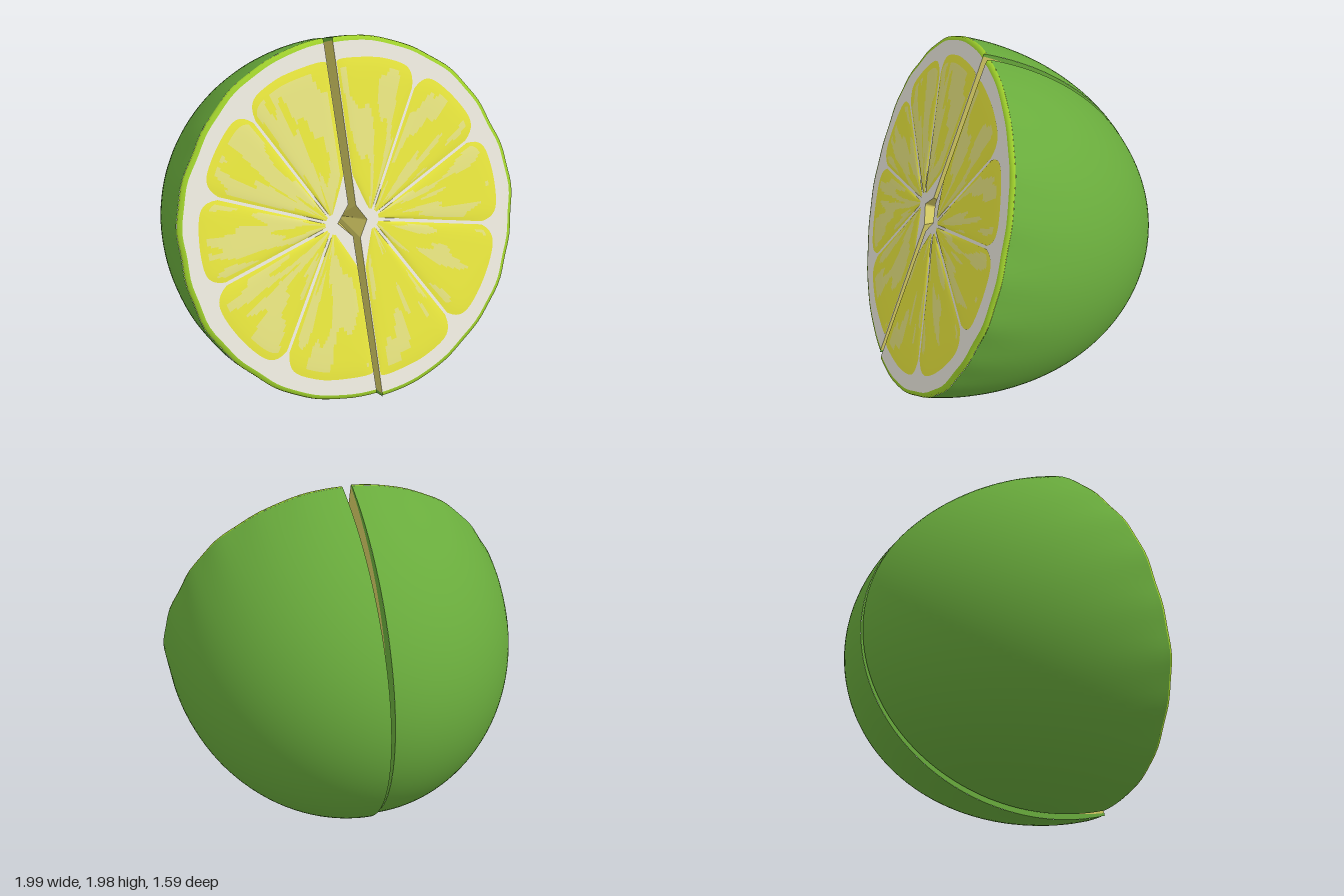
import * as THREE from 'three';

const DEPTH = 1.28; // length from the cut face to the back of the fruit
const RIND = 0.974; // inner radius of the rind edge
const mat = (name, color) => Object.assign(new THREE.MeshStandardMaterial({ color }), { name });
const M = {
  skin: mat('green skin', 0x69ab3c),
  rim: mat('bright rind edge', 0x9fd02c),
  pith: mat('white pith', 0xf3f0e5),
  flesh: mat('yellow flesh', 0xe4e23c),
  pale: mat('pale flesh', 0xe2df7c),
  wall: mat('inner cut flesh', 0xd2c862),
};

// Grid surface from point(u, v); side -1 mirrors it in x. pick(u, v) chooses a material per cell.
function grid(name, materials, point, nu, nv, side, pick = () => 0) {
  const pos = [], sets = [[], []];
  for (let j = 0; j <= nv; j++)
    for (let i = 0; i <= nu; i++) {
      const [x, y, z] = point(i / nu, j / nv);
      pos.push(side * x, y, z);
    }
  for (let j = 0; j < nv; j++)
    for (let i = 0; i < nu; i++) {
      const a = j * (nu + 1) + i, b = a + 1, c = a + nu + 1, d = c + 1;
      const cell = side > 0 ? [a, b, d, a, d, c] : [a, d, b, a, c, d];
      sets[pick((i + 0.5) / nu, (j + 0.5) / nv)].push(...cell);
    }
  const geo = new THREE.BufferGeometry();
  geo.setAttribute('position', new THREE.Float32BufferAttribute(pos, 3));
  geo.setIndex([...sets[0], ...sets[1]]);
  if (Array.isArray(materials)) {
    geo.addGroup(0, sets[0].length, 0);
    geo.addGroup(sets[0].length, sets[1].length, 1);
  }
  geo.computeVertexNormals();
  const mesh = new THREE.Mesh(geo, materials);
  mesh.name = name;
  return mesh;
}

const mix = THREE.MathUtils.lerp;
const rad = THREE.MathUtils.degToRad;

function quarter(name, side, coreX, paleness) {
  const g = new THREE.Group();
  g.name = name;
  const add = (...args) => g.add(grid(...args));
  const angle = u => (u - 0.5) * Math.PI;
  // slightly uneven knife edge
  const wave = a => Math.cos(a) * (0.006 * Math.sin(9 * a + side) + 0.004 * Math.sin(23 * a + 2 * side));
  const edge = (a, r, z) => [r * Math.cos(a), r * Math.sin(a), z];
  // outline of the small hollow at the core
  const notch = a => 1 / (Math.abs(Math.sin(a)) / 0.09 + Math.cos(a) / (coreX * 0.8));

  // outer skin, a little fuller towards the sides
  add('skin', M.skin, (u, v) => {
    const a = angle(u), p = mix(Math.PI / 2, 0.016, v);
    const [x, y, z] = edge(a, Math.cos(p) * (1 + wave(a) * v ** 10), -DEPTH * Math.sin(p));
    return [x * (1 + 0.03 * Math.sin(2 * p)), y, z];
  }, 64, 40, side);
  // bright rind edge, bevelled into the face
  add('rindEdge', M.rim, (u, v) => {
    const a = angle(u);
    const [r, z] = [[1, -0.02], [0.995, -0.004], [RIND, 0]][Math.round(v * 2)];
    return edge(a, r + wave(a), z);
  }, 64, 2, side);
  // white cut face
  add('pithFace', M.pith, (u, v) => {
    const a = angle(u);
    return edge(a, mix(RIND + wave(a), notch(a), v), 0);
  }, 64, 8, side);
  // hollow core
  add('coreHollow', M.wall, (u, v) => {
    const a = angle(u);
    return edge(a, notch(a) * (1 - v), -0.25 * v);
  }, 24, 4, side);

  // flat inner wall: skin border, thicker at the back, around the flesh
  const border = b => 0.985 - 0.1 * Math.sin(b);
  const hollow = b => 1 / (Math.abs(Math.cos(b)) / 0.09 + Math.sin(b) / 0.25);
  const wallPoint = (b, y, z) => [0, y * Math.cos(b), -z * Math.sin(b)];
  add('wallSkin', M.skin, (u, v) => {
    const b = u * Math.PI, r = mix(1, border(b), v);
    return wallPoint(b, r, r * DEPTH);
  }, 48, 1, side);
  add('wallFlesh', M.wall, (u, v) => {
    const b = u * Math.PI, r = border(b), k = hollow(b);
    return wallPoint(b, mix(r, k, v), mix(r * DEPTH, k, v));
  }, 48, 1, side);

  // five softly domed flesh segments with pale streaks
  const spokes = [-92, -58, -14, 24, 60, 92].map(rad);
  for (let k = 0; k < 5; k++) {
    const a0 = spokes[k], a1 = spokes[k + 1], mid = (a0 + a1) / 2;
    // true on the side of an end segment that is cut by the wall
    const open = e => (k === 0 && e < 0) || (k === 4 && e > 0);
    const point = (u, v) => {
      const a = mix(a0, a1, u), e = 2 * u - 1;
      const s = coreX * Math.sin(a);
      const full = Math.sqrt(0.865 ** 2 - s * s) - coreX * Math.cos(a);
      const r = mix(full * (1 - (open(e) ? 0.02 : 0.12) * Math.abs(e) ** 7), 0.03, v);
      const dome = (1 - e ** 6) * (1 - (2 * v - 1) ** 8);
      const x = coreX + 0.026 * Math.cos(mid) + r * Math.cos(a);
      const toWall = open(e) ? e ** 2 * Math.min(1, (1 - v) * 4) : 0;
      return [mix(x, 0.004, toWall), 0.026 * Math.sin(mid) + r * Math.sin(a), 0.003 + 0.007 * dome];
    };
    const seed = k * 2.3 + side * 1.1;
    const level = 0.75 - paleness - 0.15 * (k - 2);
    const streak = (u, v) => {
      if (v < 0.06 || Math.abs(u - 0.5) > 0.45) return 0;
      const n = Math.sin(u * 11 + seed * 3 + 2 * Math.sin(v * 5 + seed))
        + 0.8 * Math.sin(v * 9 - u * 6 + seed * 2) + 0.5 * Math.sin(u * 31 + v * 7 + seed);
      return n > level - 0.7 * Math.sin(v * Math.PI) ? 1 : 0;
    };
    add('segment' + (k + 1), [M.flesh, M.pale], point, 36, 36, side, streak);
  }
  return g;
}

export function createModel() {
  const model = new THREE.Group();
  model.name = 'halvedCitrus';
  const tilted = new THREE.Group();
  tilted.name = 'tiltedHalf';
  tilted.position.set(0, 1.04, 0.46);
  tilted.rotation.x = -0.342;

  const left = quarter('leftQuarter', 1, 0.07, -0.25);
  left.position.x = 0.018;
  left.rotation.z = -0.008;
  left.scale.x = 0.975;

  const right = quarter('rightQuarter', -1, 0.1, 0.5);
  right.position.set(-0.024, 0.015, 0);
  right.rotation.set(0, -0.02, 0.002);
  right.scale.set(0.968, 0.99, 0.995);

  tilted.add(left, right);
  model.add(tilted);
  return model;
}
